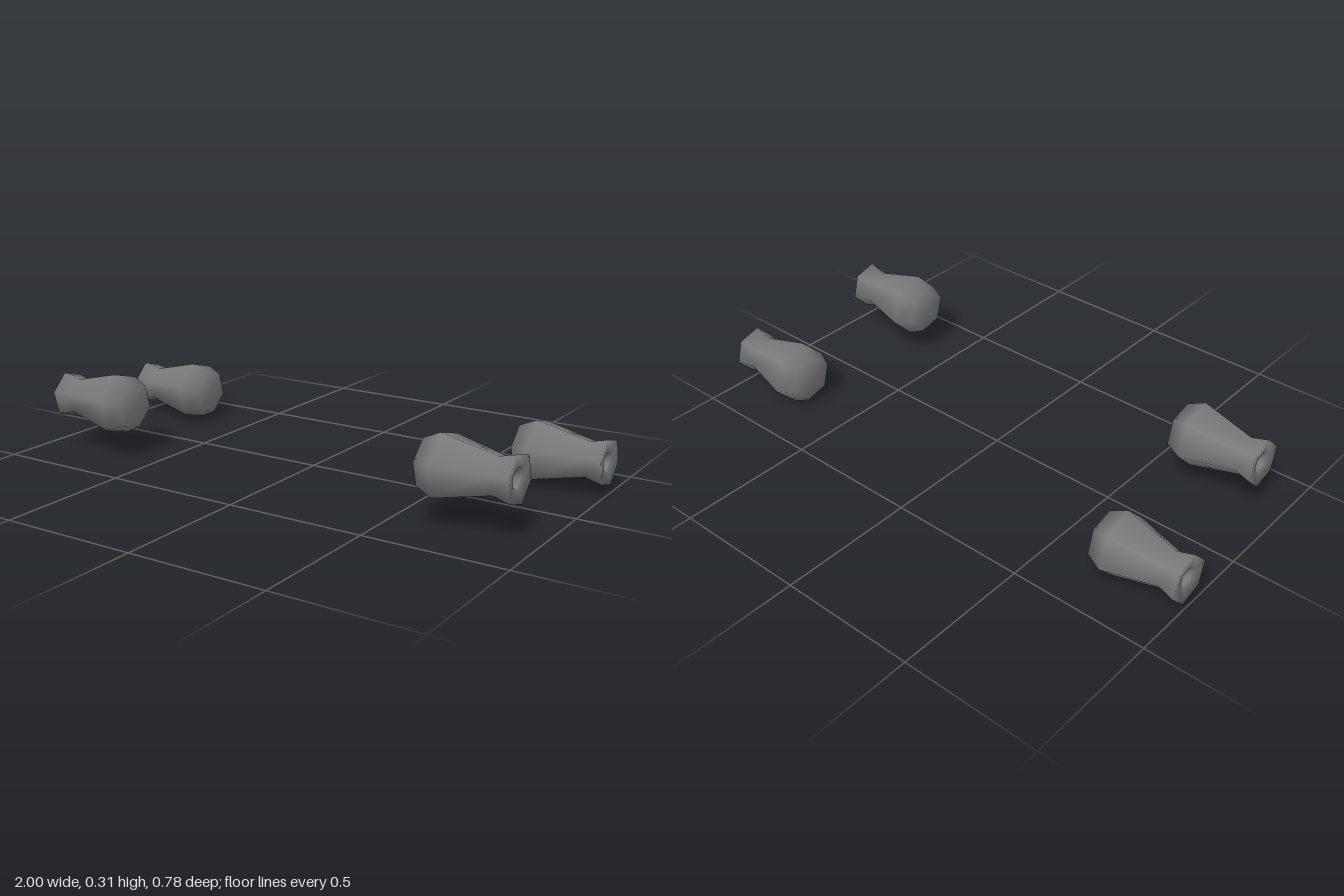
import * as THREE from 'three';

// Thruster profile: [radius, distance from inner end], from the closed inner end
// over the body, neck and flared rim, then back into the nozzle recess
const PROFILE = [
  [0, 0], [0.088, 0], [0.1185, 0.065], [0.07, 0.255], [0.088, 0.32],
  [0.04, 0.312], [0.034, 0.306], [0.025, 0.28], [0, 0.28],
].map(([r, d]) => new THREE.Vector2(r, d));

const material = new THREE.MeshStandardMaterial({ color: 0x7a7a7a });

// Six-sided thruster lying along x; side is +1 (left) or -1 (right)
function createThruster(side) {
  const start = THREE.MathUtils.degToRad(side > 0 ? 45 : 15);
  const geometry = new THREE.LatheGeometry(PROFILE, 6, start);
  geometry.rotateZ(-Math.PI / 2);
  if (side < 0) geometry.rotateY(Math.PI);
  return new THREE.Mesh(geometry, material);
}

export function createModel() {
  const model = new THREE.Group();
  model.name = 'thrusters';

  // Front pair sits higher and closer in than the back pair
  const pairs = [
    { name: 'front', x: 0.6, y: 0.195, z: 0.274 },
    { name: 'back', x: 0.68, y: 0.115, z: -0.274 },
  ];
  for (const { name, x, y, z } of pairs) {
    for (const side of [1, -1]) {
      const thruster = createThruster(side);
      thruster.name = name + (side > 0 ? 'Left' : 'Right') + 'Thruster';
      thruster.position.set(side * x, y, z);
      model.add(thruster);
    }
  }
  return model;
}
